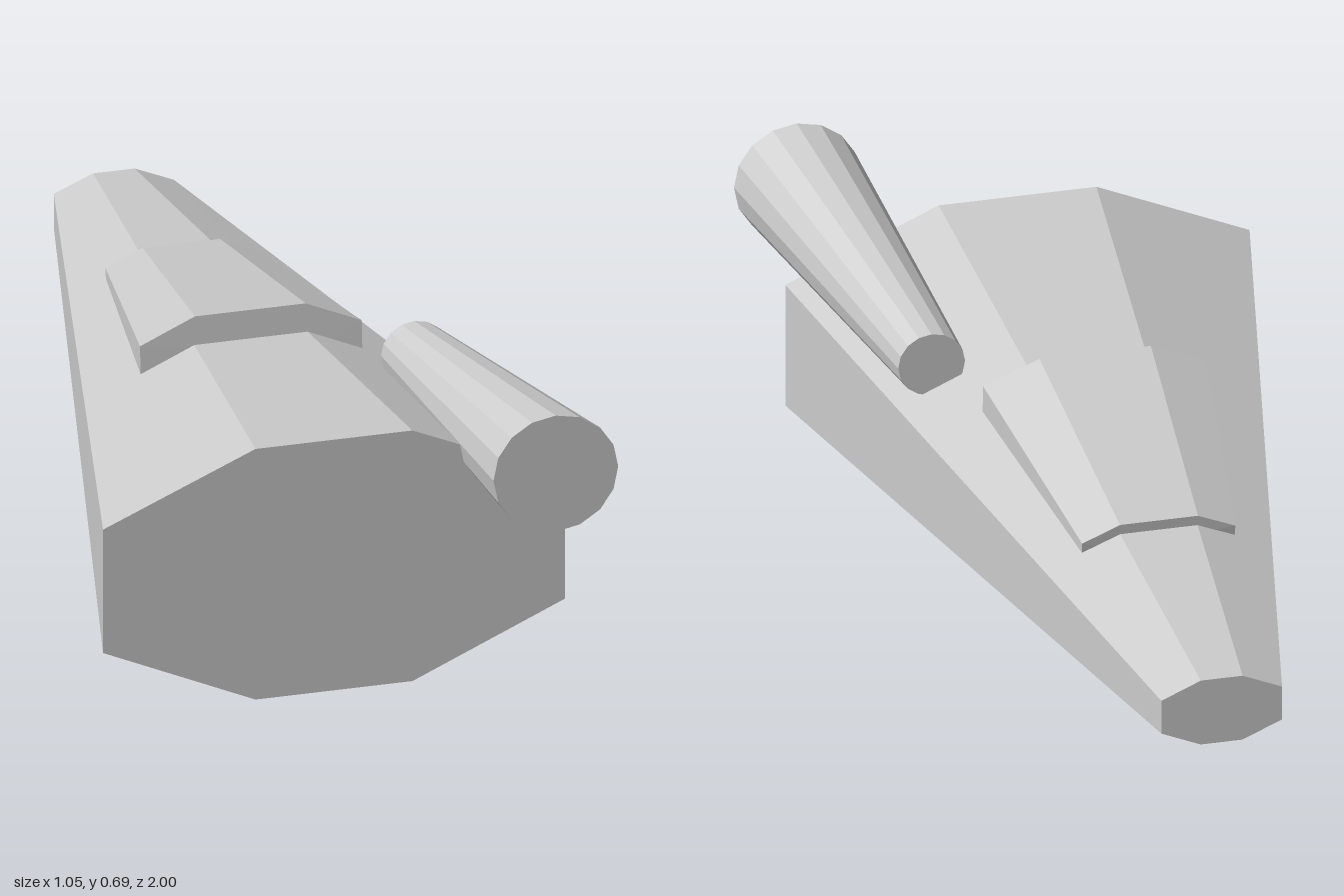
import * as THREE from 'three';

const material = new THREE.MeshStandardMaterial({ color: 0xcccccc, flatShading: true, side: THREE.DoubleSide });

// Closed solid between two convex rings of [x, y, z], counter-clockwise seen from +z
function loft(name, front, back) {
  const n = front.length;
  const index = [];
  for (let i = 0; i < n; i++) {
    const j = (i + 1) % n;
    index.push(i, n + i, j, j, n + i, n + j);
  }
  for (let i = 1; i < n - 1; i++) {
    index.push(0, i, i + 1, n, n + i + 1, n + i);
  }
  const indexed = new THREE.BufferGeometry();
  indexed.setAttribute('position', new THREE.Float32BufferAttribute([...front, ...back].flat(), 3));
  indexed.setIndex(index);
  const geometry = indexed.toNonIndexed();
  geometry.computeVertexNormals();
  const mesh = new THREE.Mesh(geometry, material);
  mesh.name = name;
  return mesh;
}

// Mirror a right-hand profile of [x, y, z], listed bottom to top, about x = cx
const mirrored = (cx, half) => [
  ...half.map(([x, y, z]) => [cx + x, y, z]),
  ...half.slice().reverse().map(([x, y, z]) => [cx - x, y, z]),
];

const circle = (cx, cy, z, r, sides) => Array.from({ length: sides }, (_, i) => {
  const a = (i / sides) * Math.PI * 2;
  return [cx + r * Math.cos(a), cy + r * Math.sin(a), z];
});

export function createModel() {
  const group = new THREE.Group();
  group.name = 'wedgeModel';
  const cx = -0.03;

  // Eight-sided tapering body
  const bodyRing = (z, flat, wide, ys) =>
    mirrored(cx, [[flat, ys[0], z], [wide, ys[1], z], [wide, ys[2], z], [flat, ys[3], z]]);
  group.add(loft('body',
    bodyRing(0.775, 0.17, 0.5, [0, 0.15, 0.437, 0.583]),
    bodyRing(-1, 0.045, 0.13, [0.22, 0.257, 0.335, 0.372])));

  // Raised plate resting on the upper faces of the body
  group.add(loft('topPlate',
    mirrored(cx, [[0.12, 0.45, 0.11], [0.24, 0.45, 0.11], [0.24, 0.515, 0.105], [0.12, 0.567, 0.1]]),
    mirrored(cx, [[0.084, 0.402, -0.45], [0.165, 0.402, -0.45], [0.165, 0.425, -0.453], [0.084, 0.46, -0.455]])));

  // Slanted tapering barrel on the left shoulder
  group.add(loft('barrel',
    circle(0.39, 0.557, 1, 0.135, 16),
    circle(0.285, 0.5, 0.25, 0.072, 16)));

  return group;
}
